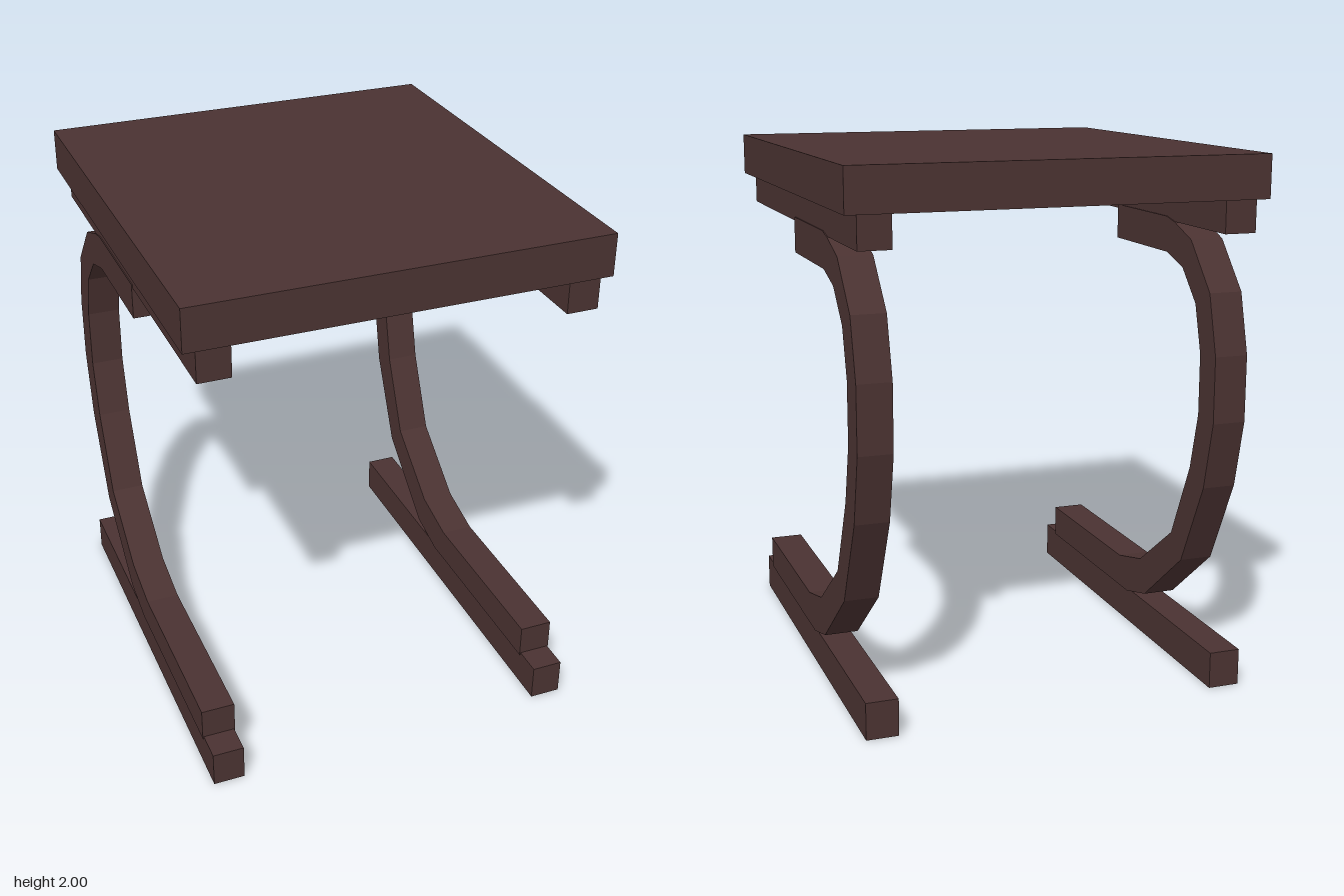
import * as THREE from 'three';

const wood = new THREE.MeshStandardMaterial({ color: 0x4a3231, flatShading: true });

function addBox(parent, name, size, position) {
  const mesh = new THREE.Mesh(new THREE.BoxGeometry(...size), wood);
  mesh.name = name;
  mesh.position.set(...position);
  parent.add(mesh);
}

// Side outline of the bent leg as [depth towards the back, height]
const outer = [
  [-0.72, 0.13], [0.08, 0.13], [0.25, 0.175], [0.565, 0.425], [0.73, 0.76], [0.79, 1.02],
  [0.79, 1.27], [0.73, 1.495], [0.57, 1.67], [0.43, 1.72], [0.36, 1.735], [-0.085, 1.735],
];
const inner = [
  [-0.085, 1.6], [0.37, 1.6], [0.505, 1.56], [0.62, 1.44], [0.67, 1.26], [0.67, 1.03],
  [0.615, 0.81], [0.475, 0.51], [0.2, 0.31], [0, 0.26], [-0.72, 0.26],
];

function bentLegGeometry(width) {
  const shape = new THREE.Shape([...outer, ...inner].map(([s, y]) => new THREE.Vector2(s, y)));
  return new THREE.ExtrudeGeometry(shape, { depth: width, bevelEnabled: false })
    .translate(0, 0, -width / 2)
    .rotateY(Math.PI / 2);
}

export function createModel() {
  const table = new THREE.Group();
  table.name = 'sideTable';

  // Thick slab top
  addBox(table, 'tabletop', [1.55, 0.16, 1.68], [0, 1.92, 0]);

  // Each side: floor runner, bent leg and rail below the top
  const legGeometry = bentLegGeometry(0.128);
  for (const [label, side] of [['left', 1], ['right', -1]]) {
    const frame = new THREE.Group();
    frame.name = label + 'Frame';
    frame.position.x = side * 0.67;
    addBox(frame, label + 'FloorRunner', [0.12, 0.14, 1.655], [0, 0.07, 0.004]);
    addBox(frame, label + 'TopRail', [0.12, 0.12, 1.655], [0, 1.78, 0.004]);
    const leg = new THREE.Mesh(legGeometry, wood);
    leg.name = label + 'BentLeg';
    frame.add(leg);
    table.add(frame);
  }
  return table;
}
